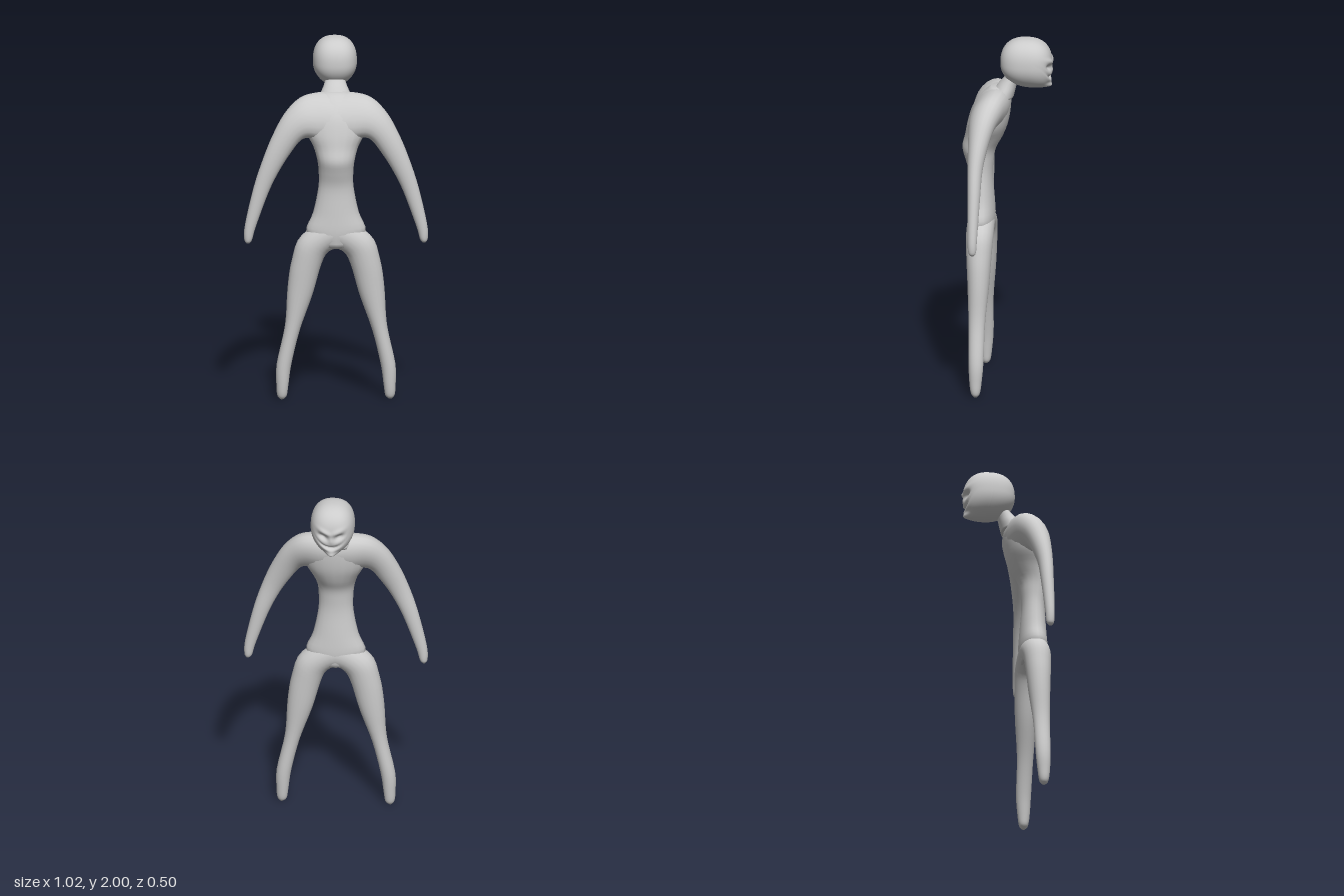
import * as THREE from 'three';

const material = new THREE.MeshStandardMaterial({ color: 0xcccccc, side: THREE.DoubleSide });

// Closed skin through elliptical sections: [inner x,y,z, outer x,y,z, half depth in z]
function loft(name, sections, steps = 4, sides = 20) {
  const curve = (f) => new THREE.CatmullRomCurve3(sections.map(f), false, 'catmullrom', 0.5);
  const inner = curve((s) => new THREE.Vector3(s[0], s[1], s[2]));
  const outer = curve((s) => new THREE.Vector3(s[3], s[4], s[5]));
  const depth = curve((s) => new THREE.Vector3(s[6], 0, 0));
  const n = (sections.length - 1) * steps;
  const pos = [], index = [];
  for (let r = -1; r <= n + 1; r++) {
    const t = Math.min(Math.max(r / n, 0), 1);
    const a = inner.getPoint(t), b = outer.getPoint(t);
    const c = a.clone().add(b).multiplyScalar(0.5);
    const u = b.sub(a).multiplyScalar(0.5);
    const d = depth.getPoint(t).x;
    const k = r < 0 || r > n ? 0 : 1; // end rings shrink to a point
    for (let j = 0; j < sides; j++) {
      const ang = (j / sides) * Math.PI * 2;
      const p = c.clone().addScaledVector(u, k * Math.cos(ang));
      pos.push(p.x, p.y, p.z + k * d * Math.sin(ang));
    }
  }
  for (let r = 0; r < n + 2; r++) {
    for (let j = 0; j < sides; j++) {
      const a = r * sides + j, b = r * sides + (j + 1) % sides;
      index.push(a, a + sides, b + sides, a, b + sides, b);
    }
  }
  const g = new THREE.BufferGeometry();
  g.setAttribute('position', new THREE.Float32BufferAttribute(pos, 3));
  g.setIndex(index);
  g.computeVertexNormals();
  const mesh = new THREE.Mesh(g, material);
  mesh.name = name;
  return mesh;
}

// Half a limb pair up to the middle, continued by its mirror image
const mirrored = (half) => [
  ...half,
  ...half.slice(0, -1).reverse().map(([a, b, c, d, e, f, w]) => [-a, b, c, -d, e, f, w]),
];

// Symmetric level section: half width, height, front and back z
const level = ([w, y, z0, z1]) => [-w, y, (z0 + z1) / 2, w, y, (z0 + z1) / 2, (z1 - z0) / 2];

const bump = (x, y, sx, sy) => Math.exp(-((x / sx) ** 2) - (y / sy) ** 2);

// Rounded skull with sockets, brow, grin and chin pressed into the -z side
function head() {
  const g = new THREE.SphereGeometry(1, 80, 64);
  const p = g.attributes.position;
  const round = (v) => Math.sign(v) * Math.abs(v);
  for (let i = 0; i < p.count; i++) {
    let x = round(p.getX(i)), y = p.getY(i), z = p.getZ(i);
    const len = Math.pow(Math.abs(x) ** 2.4 + Math.abs(y) ** 2.4 + Math.abs(z) ** 2.4, 1 / 2.4);
    x *= 0.122 / len;
    y *= 0.14 / len;
    z *= 0.143 / len;
    const low = Math.max(0, -y / 0.14);
    x *= 1 - 0.28 * low * low;
    z -= 0.035 * low * low;
    if (z < -0.02) {
      const ax = Math.abs(x);
      const eye = bump(ax - 0.045, y + 0.012 - 0.35 * (ax - 0.045), 0.024, 0.016);
      const brow = bump(ax - 0.035, y - 0.022 - 0.4 * (ax - 0.045), 0.04, 0.014);
      const grin = y + 0.078 - 7 * x * x;
      const mouth = bump(x, grin, 0.06, 0.008);
      const lip = bump(x, grin + 0.02, 0.05, 0.01);
      const nose = bump(x, y + 0.035, 0.013, 0.02);
      const chin = bump(x, y + 0.122, 0.03, 0.016);
      z += 0.022 * eye - 0.009 * brow + 0.018 * mouth - 0.007 * lip - 0.006 * nose - 0.03 * chin;
      y -= 0.008 * chin;
    }
    p.setXYZ(i, x, y + 1.86, z - 0.105);
  }
  g.computeVertexNormals();
  const mesh = new THREE.Mesh(g, material);
  mesh.name = 'head';
  return mesh;
}

export function createModel() {
  const model = new THREE.Group();
  model.name = 'figure';

  // Trunk with a hunched upper back
  model.add(loft('torso', [
    [0.09, 0.87, 0.08, 0.21],
    [0.165, 0.95, 0.066, 0.22],
    [0.126, 1.06, 0.07, 0.215],
    [0.098, 1.2, 0.08, 0.21],
    [0.096, 1.29, 0.075, 0.232],
    [0.104, 1.36, 0.062, 0.25],
    [0.125, 1.43, 0.025, 0.235],
    [0.165, 1.51, -0.005, 0.22],
    [0.17, 1.6, -0.02, 0.192],
    [0.13, 1.67, -0.02, 0.145],
    [0.06, 1.72, 0.0, 0.09],
  ].map(level)));

  // Both arms, running through the shoulders
  model.add(loft('arms', mirrored([
    [0.48, 0.885, 0.148, 0.496, 0.885, 0.148, 0.01],
    [0.464, 0.905, 0.148, 0.508, 0.91, 0.148, 0.022],
    [0.443, 0.98, 0.148, 0.503, 0.995, 0.148, 0.027],
    [0.37, 1.18, 0.146, 0.455, 1.205, 0.146, 0.035],
    [0.305, 1.31, 0.146, 0.405, 1.36, 0.144, 0.042],
    [0.24, 1.41, 0.14, 0.352, 1.49, 0.13, 0.055],
    [0.195, 1.465, 0.138, 0.285, 1.61, 0.105, 0.07],
    [0.15, 1.48, 0.135, 0.2, 1.692, 0.075, 0.087],
    [0.07, 1.46, 0.13, 0.1, 1.718, 0.055, 0.1],
    [0, 1.46, 0.13, 0, 1.715, 0.05, 0.104],
  ])));

  // Both legs, arching through the crotch
  model.add(loft('legs', mirrored([
    [0.29, 0.0, 0.148, 0.31, 0.0, 0.148, 0.01],
    [0.272, 0.02, 0.148, 0.325, 0.022, 0.148, 0.025],
    [0.263, 0.08, 0.148, 0.33, 0.08, 0.148, 0.034],
    [0.246, 0.2, 0.146, 0.328, 0.2, 0.146, 0.042],
    [0.2, 0.39, 0.146, 0.282, 0.42, 0.146, 0.046],
    [0.13, 0.59, 0.142, 0.268, 0.63, 0.142, 0.06],
    [0.085, 0.75, 0.142, 0.244, 0.79, 0.142, 0.07],
    [0.05, 0.825, 0.142, 0.188, 0.93, 0.142, 0.076],
    [0, 0.85, 0.142, 0, 1.03, 0.142, 0.076],
  ])));

  // Neck leaning forward into the head
  model.add(loft('neck', [
    [0.1, 1.66, -0.035, 0.1],
    [0.085, 1.7, -0.045, 0.075],
    [0.066, 1.74, -0.055, 0.045],
    [0.053, 1.78, -0.07, 0.01],
    [0.045, 1.83, -0.1, -0.02],
  ].map(level)));

  model.add(head());
  return model;
}
